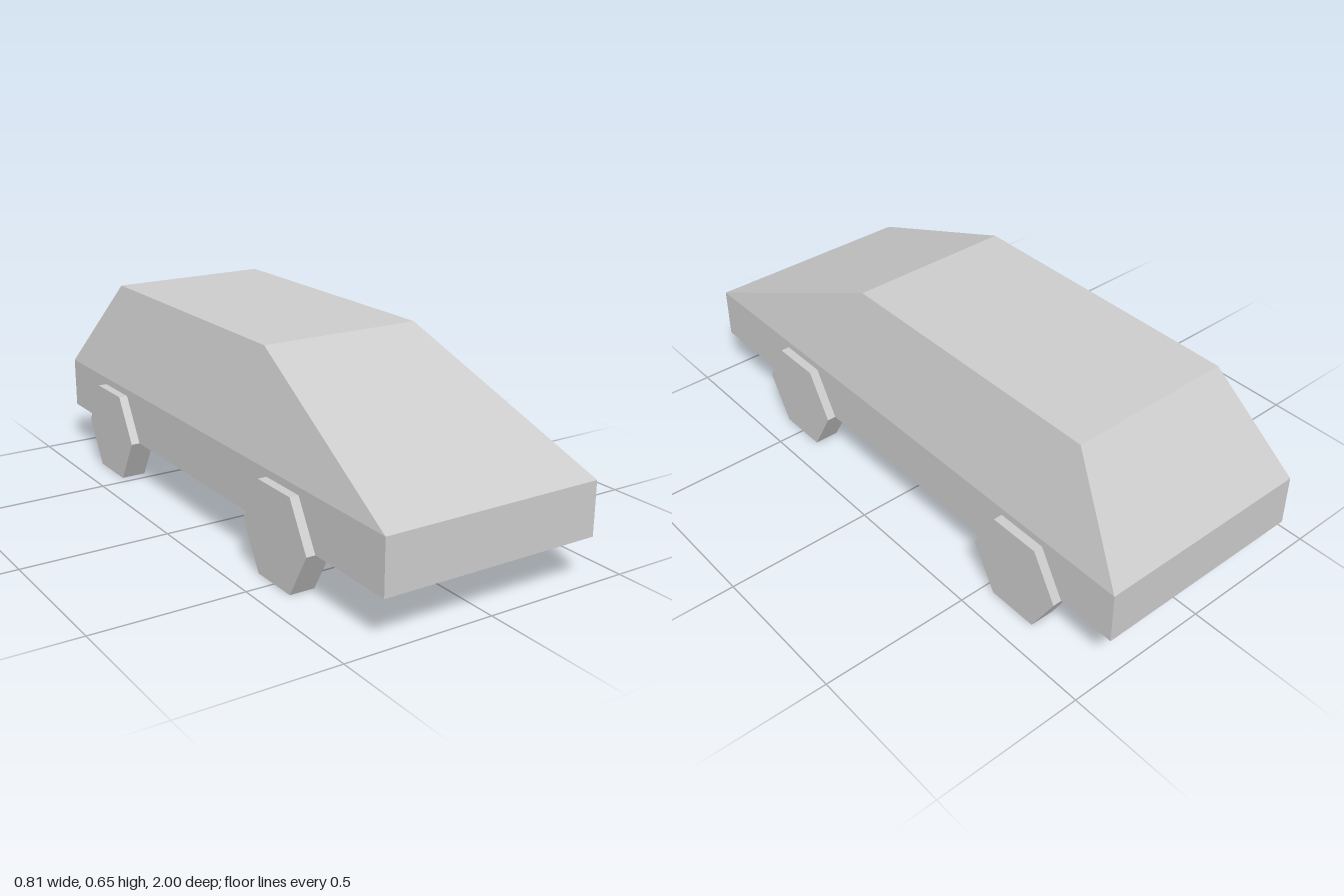
import * as THREE from 'three';

export function createModel() {
  const car = new THREE.Group();
  car.name = 'car';
  const material = new THREE.MeshStandardMaterial({ color: 0xcccccc, flatShading: true });

  // Body: a box with a belt line, its top edge drawn in to form the cabin roof
  const bottom = 0.152, belt = 0.328, roof = 0.652;
  const bodyGeometry = new THREE.BoxGeometry(0.75, 2, 2, 1, 2, 1);
  const p = bodyGeometry.attributes.position;
  for (let i = 0; i < p.count; i++) {
    const level = p.getY(i);
    if (level > 0.5) {
      p.setXYZ(i, Math.sign(p.getX(i)) * 0.281, roof, p.getZ(i) > 0 ? 0.25 : -0.75);
    } else {
      p.setY(i, level < -0.5 ? bottom : belt);
    }
  }
  bodyGeometry.computeVertexNormals();
  const body = new THREE.Mesh(bodyGeometry, material);
  body.name = 'body';
  car.add(body);

  // Wheels: six-sided discs, flat side down
  const radius = 0.175;
  const wheelGeometry = new THREE.CylinderGeometry(radius, radius, 0.085, 6).rotateZ(Math.PI / 2);
  for (const [end, z] of [['front', 0.5], ['rear', -0.625]]) {
    for (const [side, sign] of [['Left', 1], ['Right', -1]]) {
      const wheel = new THREE.Mesh(wheelGeometry, material);
      wheel.name = `${end}${side}Wheel`;
      wheel.position.set(sign * 0.3625, 0.152, z);
      car.add(wheel);
    }
  }
  return car;
}
